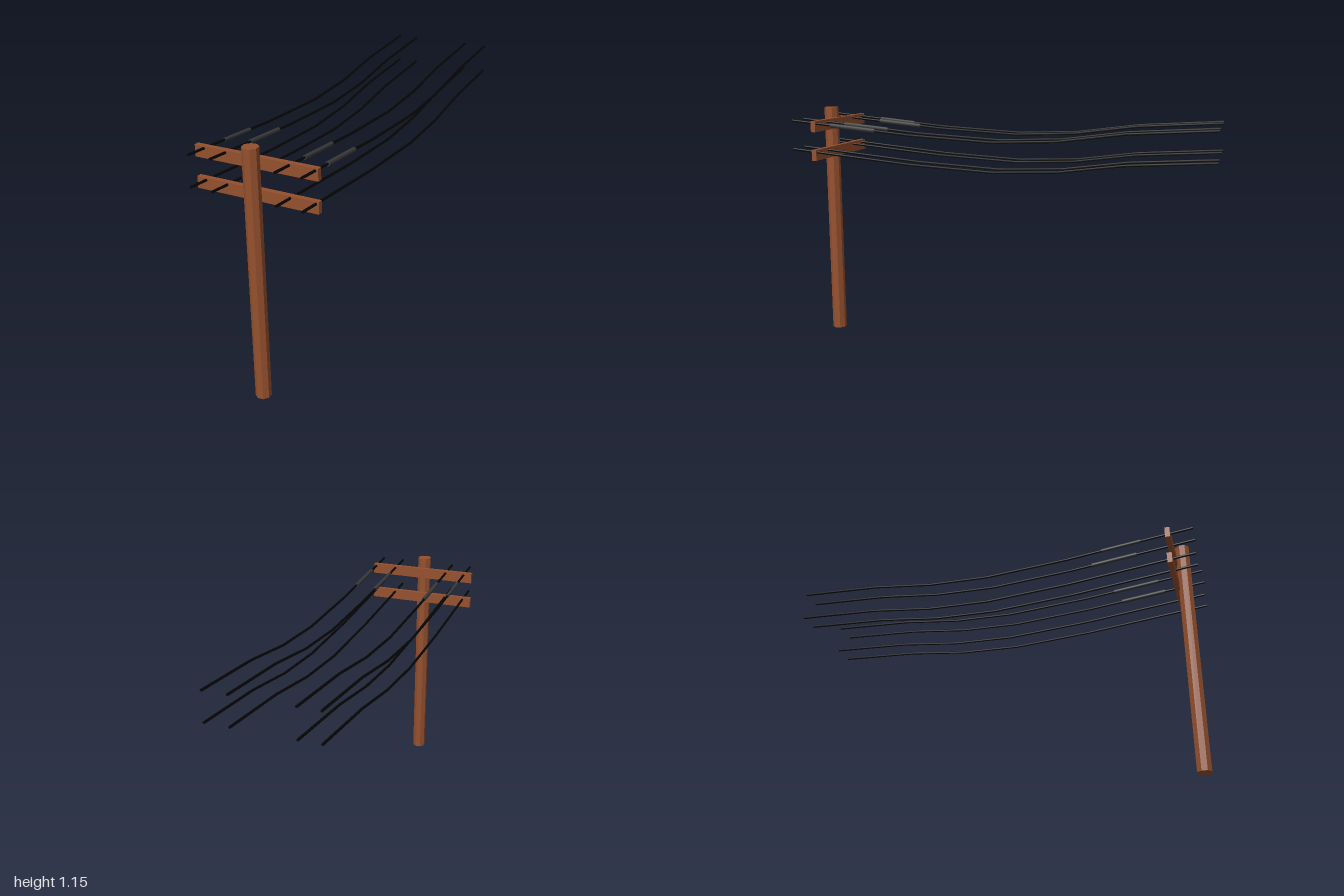
import * as THREE from 'three';

const wood = new THREE.MeshStandardMaterial({ color: 0x95502d, flatShading: true });
const black = new THREE.MeshStandardMaterial({ color: 0x050505 });
const darkGrey = new THREE.MeshStandardMaterial({ color: 0x3a3a3a });

// Sagging wire profile for the upper row: [z, y]
const SAG = [[1, 1.103], [0.4, 1.047], [0, 1.025], [-0.3, 1.037], [-0.6, 1.077], [-1, 1.103]];
const ROW_DROP = 0.137;

function add(parent, name, geometry, material, x = 0, y = 0, z = 0) {
  const mesh = new THREE.Mesh(geometry, material);
  mesh.name = name;
  mesh.position.set(x, y, z);
  parent.add(mesh);
  return mesh;
}

// A thin cylinder whose rings are moved onto the sag profile
function wireGeometry(radius) {
  const spans = SAG.length - 1;
  const geo = new THREE.CylinderGeometry(radius, radius, 1, 8, spans);
  geo.rotateX(Math.PI / 2);
  const pos = geo.attributes.position;
  for (let i = 0; i < pos.count; i++) {
    const [z, y] = SAG[Math.round((0.5 - pos.getZ(i)) * spans)];
    pos.setY(i, pos.getY(i) + y);
    pos.setZ(i, z);
  }
  geo.computeVertexNormals();
  return geo;
}

export function createModel() {
  const model = new THREE.Group();
  model.name = 'utilityPole';

  // Eight-sided post
  const post = add(model, 'post', new THREE.CylinderGeometry(0.035, 0.035, 1.153, 8), wood, 0, 0.5765, 0.924);
  post.rotation.y = -0.3;

  // Two crossarms, each carrying four wires
  const wire = wireGeometry(0.0058);
  const wireX = [-0.237, -0.136, 0.152, 0.265];
  for (const [row, drop] of [['upper', 0], ['lower', ROW_DROP]]) {
    add(model, row + 'Crossarm', new THREE.BoxGeometry(0.558, 0.052, 0.023), wood, -0.001, 1.077 - drop, 0.886);
    wireX.forEach((x, i) => add(model, `${row}Wire${i + 1}`, wire, black, x, -drop, 0));
  }

  // Thicker sleeves on the upper wires: [x, near z, far z, radius]
  const [[z0, y0], [z1, y1]] = SAG;
  const slope = (y1 - y0) / (z1 - z0);
  const sleeves = [
    [-0.237, 0.755, 0.57, 0.0085], [-0.136, 0.72, 0.5, 0.01],
    [0.152, 0.78, 0.555, 0.0095], [0.265, 0.8, 0.575, 0.0105],
  ];
  sleeves.forEach(([x, near, far, r], i) => {
    const z = (near + far) / 2;
    const length = (near - far) * Math.hypot(1, slope);
    const sleeve = add(model, `wireSleeve${i + 1}`, new THREE.CylinderGeometry(r, r, length, 8), darkGrey,
      x, y0 + slope * (z - z0), z);
    sleeve.rotation.x = Math.PI / 2 - Math.atan(slope);
  });

  return model;
}
